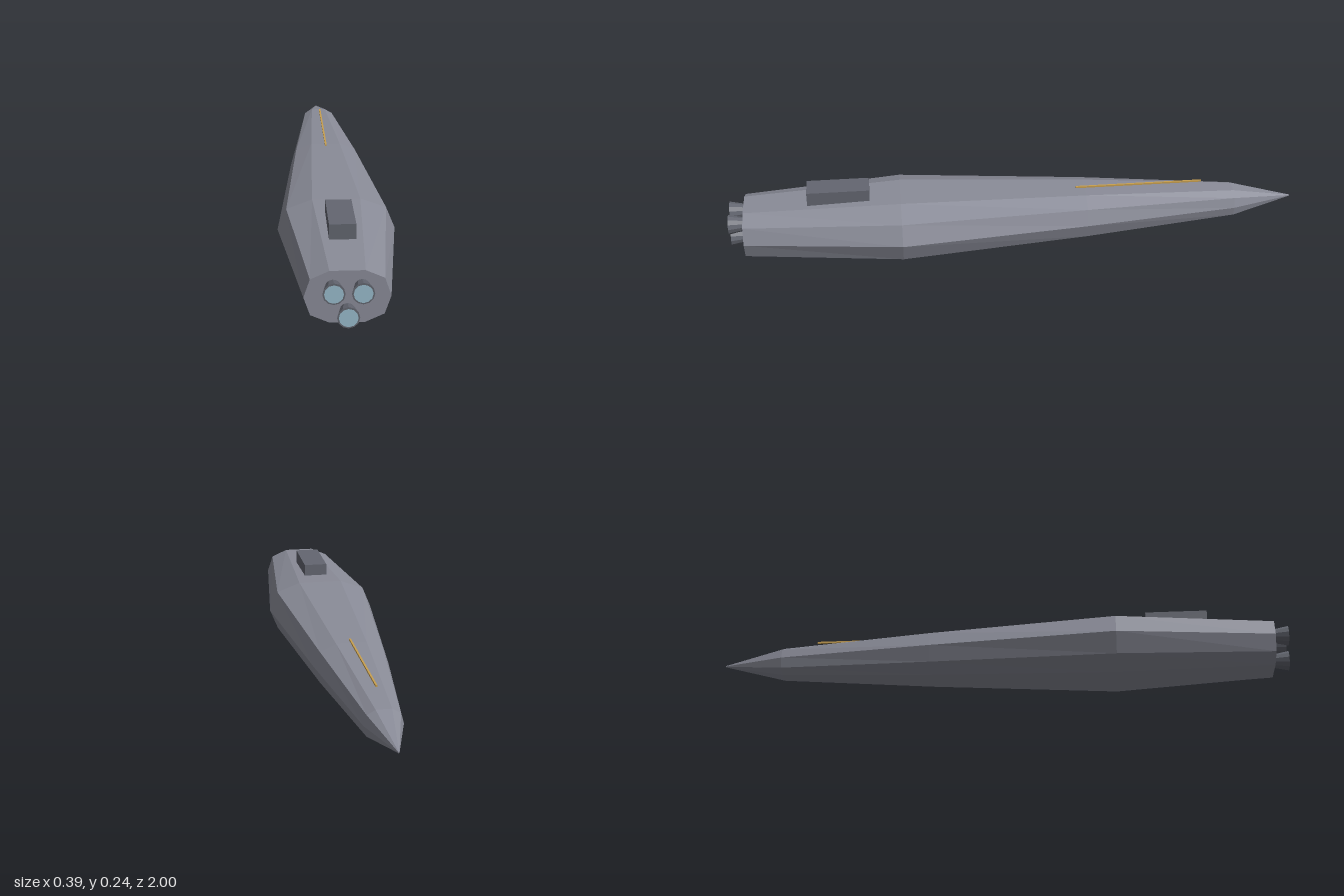
import * as THREE from 'three';

const mat = (name, color) => {
  const m = new THREE.MeshStandardMaterial({ color, flatShading: true });
  m.name = name;
  return m;
};

const CENTER_Y = 0.105;

// Ten-sided hull lofted through stations of [z, half width, half height]
function hullGeometry() {
  const ring = [[1, 0], [0.85, 0.69], [0.41, 1], [-0.41, 1], [-0.85, 0.69],
    [-1, 0], [-0.85, -0.69], [-0.41, -1], [0.41, -1], [0.85, -0.69]];
  const stations = [[0.945, 0.13, 0.083], [0.4, 0.193, 0.103], [-0.25, 0.128, 0.08],
    [-0.785, 0.063, 0.051], [-1, 0.002, 0.002]];
  const n = ring.length;
  const pos = [];
  const index = [];
  for (const [z, w, h] of stations) {
    for (const [x, y] of ring) pos.push(x * w, CENTER_Y + y * h, z);
  }
  for (let s = 0; s < stations.length - 1; s++) {
    for (let i = 0; i < n; i++) {
      const a = s * n + i, b = s * n + (i + 1) % n;
      index.push(a, a + n, b, b, a + n, b + n);
    }
  }
  // End caps
  const last = (stations.length - 1) * n;
  for (let i = 1; i < n - 1; i++) {
    index.push(0, i, i + 1);
    index.push(last, last + i + 1, last + i);
  }
  const g = new THREE.BufferGeometry();
  g.setAttribute('position', new THREE.Float32BufferAttribute(pos, 3));
  g.setIndex(index);
  const flat = g.toNonIndexed();
  flat.computeVertexNormals();
  return flat;
}

export function createModel() {
  const hullGrey = mat('hullGrey', 0x8a8c98);
  const darkGrey = mat('darkGrey', 0x636670);
  const glowBlue = mat('glowBlue', 0x99bbcc);
  const brass = mat('brass', 0xc8a050);

  const model = new THREE.Group();
  model.name = 'spaceship';
  const add = (name, geometry, material, x, y, z, parent = model) => {
    const mesh = new THREE.Mesh(geometry, material);
    mesh.name = name;
    mesh.position.set(x, y, z);
    parent.add(mesh);
    return mesh;
  };

  add('hull', hullGeometry(), hullGrey, 0, 0, 0);

  // Bridge block on the spine
  add('bridge', new THREE.BoxGeometry(0.084, 0.056, 0.216), darkGrey, 0, 0.218, 0.615);

  // Thin rail along the nose
  add('spineRail', new THREE.BoxGeometry(0.006, 0.006, 0.45), brass, 0, 0.188, -0.445);

  // Flared engine nozzles with glowing discs
  const nozzle = new THREE.CylinderGeometry(0.034, 0.022, 0.06, 12).rotateX(Math.PI / 2);
  const disc = new THREE.CircleGeometry(0.029, 12);
  [[-0.043, 0.137], [0.043, 0.137], [0, 0.061]].forEach(([x, y], i) => {
    const engine = new THREE.Group();
    engine.name = `engine${i + 1}`;
    engine.position.set(x, y, 0);
    add('nozzle', nozzle, darkGrey, 0, 0, 0.968, engine);
    add('engineGlow', disc, glowBlue, 0, 0, 1, engine);
    model.add(engine);
  });

  return model;
}
